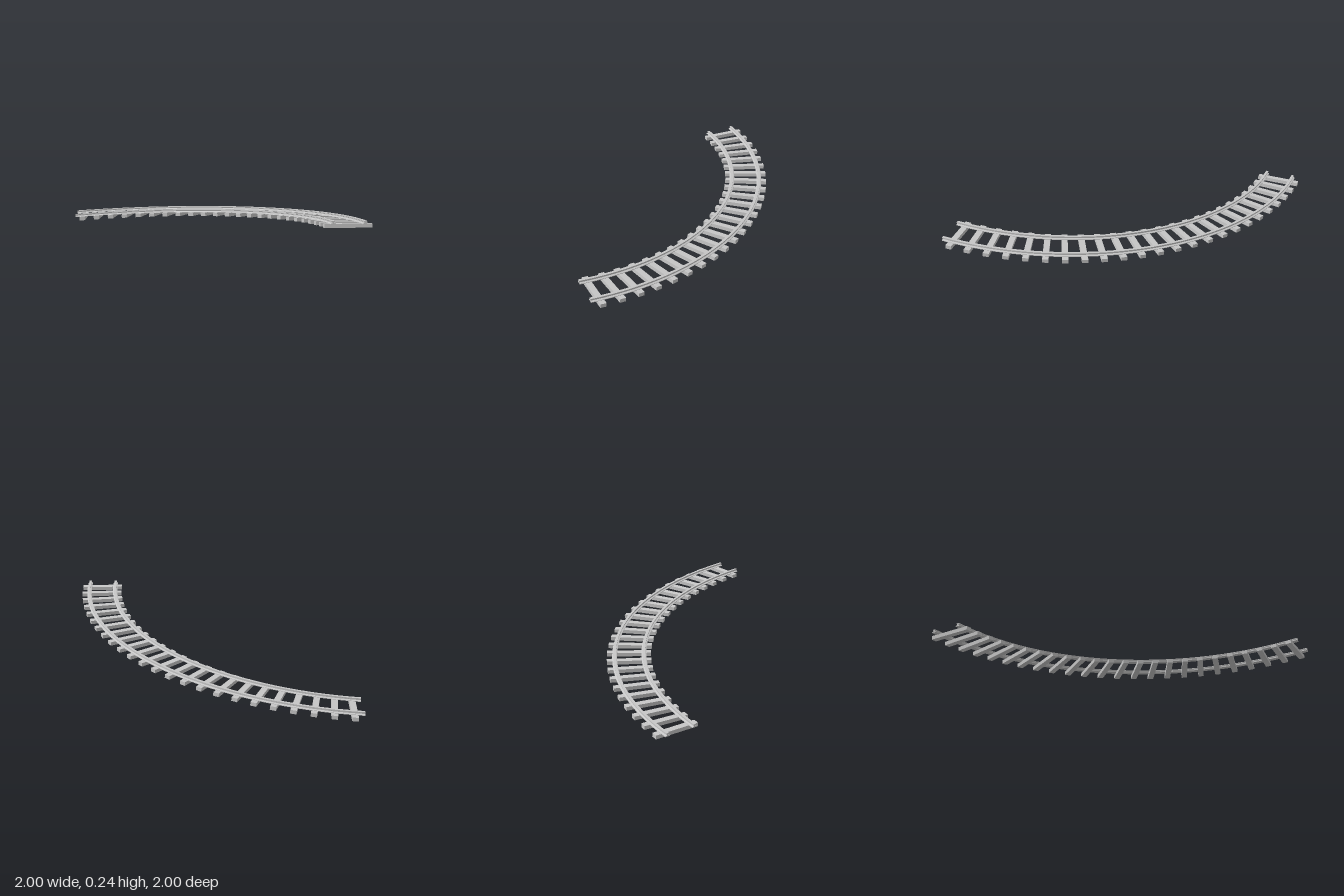
import * as THREE from 'three';

const SWEEP = Math.PI / 2, RISE = 0.2, MID_RADIUS = 1.8475;
const SLEEPERS = 24, RAIL_STEPS = 72;

// Point on the climbing quarter turn, t from 0 (low end) to 1 (high end)
function trackPoint(t, radius, y) {
  const a = t * SWEEP;
  return [-1 + radius * Math.sin(a), y + RISE * t, 1 - radius * Math.cos(a)];
}

// Rail cross-section: wide foot, narrow web, head (radial offset, height), counterclockwise
const half = [[0.017, 0], [0.017, 0.004], [0.005, 0.008], [0.005, 0.014], [0.009, 0.016], [0.009, 0.022]];
const profile = [...half, ...half.slice().reverse().map(([x, y]) => [-x, y])];

function railGeometry(radius) {
  const n = profile.length, pos = [], index = [];
  for (let s = 0; s <= RAIL_STEPS; s++) {
    for (const [dx, y] of profile) pos.push(...trackPoint(s / RAIL_STEPS, radius + dx, 0.022 + y));
  }
  for (let s = 0; s < RAIL_STEPS; s++) {
    for (let i = 0; i < n; i++) {
      const j = (i + 1) % n, a = s * n + i, b = s * n + j;
      index.push(a, b, b + n, a, b + n, a + n);
    }
  }
  // End caps
  const last = RAIL_STEPS * n;
  const outline = profile.map(([x, y]) => new THREE.Vector2(x, y));
  for (const [a, b, c] of THREE.ShapeUtils.triangulateShape(outline, [])) {
    index.push(a, c, b, last + a, last + b, last + c);
  }
  const indexed = new THREE.BufferGeometry();
  indexed.setAttribute('position', new THREE.Float32BufferAttribute(pos, 3));
  indexed.setIndex(index);
  const geometry = indexed.toNonIndexed();
  geometry.computeVertexNormals();
  return geometry;
}

export function createModel() {
  const group = new THREE.Group();
  group.name = 'curvedTrack';
  const grey = new THREE.MeshStandardMaterial({ color: 0xc8c8c8 });
  grey.name = 'lightGrey';

  // Two rails
  for (const [name, radius] of [['innerRail', 1.745], ['outerRail', 1.946]]) {
    const rail = new THREE.Mesh(railGeometry(radius), grey);
    rail.name = name;
    group.add(rail);
  }

  // Sleepers, pointing at the turn's centre and tilted with the climb
  const sleepers = new THREE.Group();
  sleepers.name = 'sleepers';
  const box = new THREE.BoxGeometry(0.305, 0.026, 0.041);
  const slope = Math.atan(RISE / (MID_RADIUS * SWEEP));
  for (let i = 0; i < SLEEPERS; i++) {
    const t = (i + 0.5) / SLEEPERS;
    const sleeper = new THREE.Mesh(box, grey);
    sleeper.name = 'sleeper';
    sleeper.position.set(...trackPoint(t, MID_RADIUS, 0.0103));
    sleeper.rotation.set(-slope, Math.PI / 2 - t * SWEEP, 0, 'YXZ');
    sleepers.add(sleeper);
  }
  group.add(sleepers);
  return group;
}
